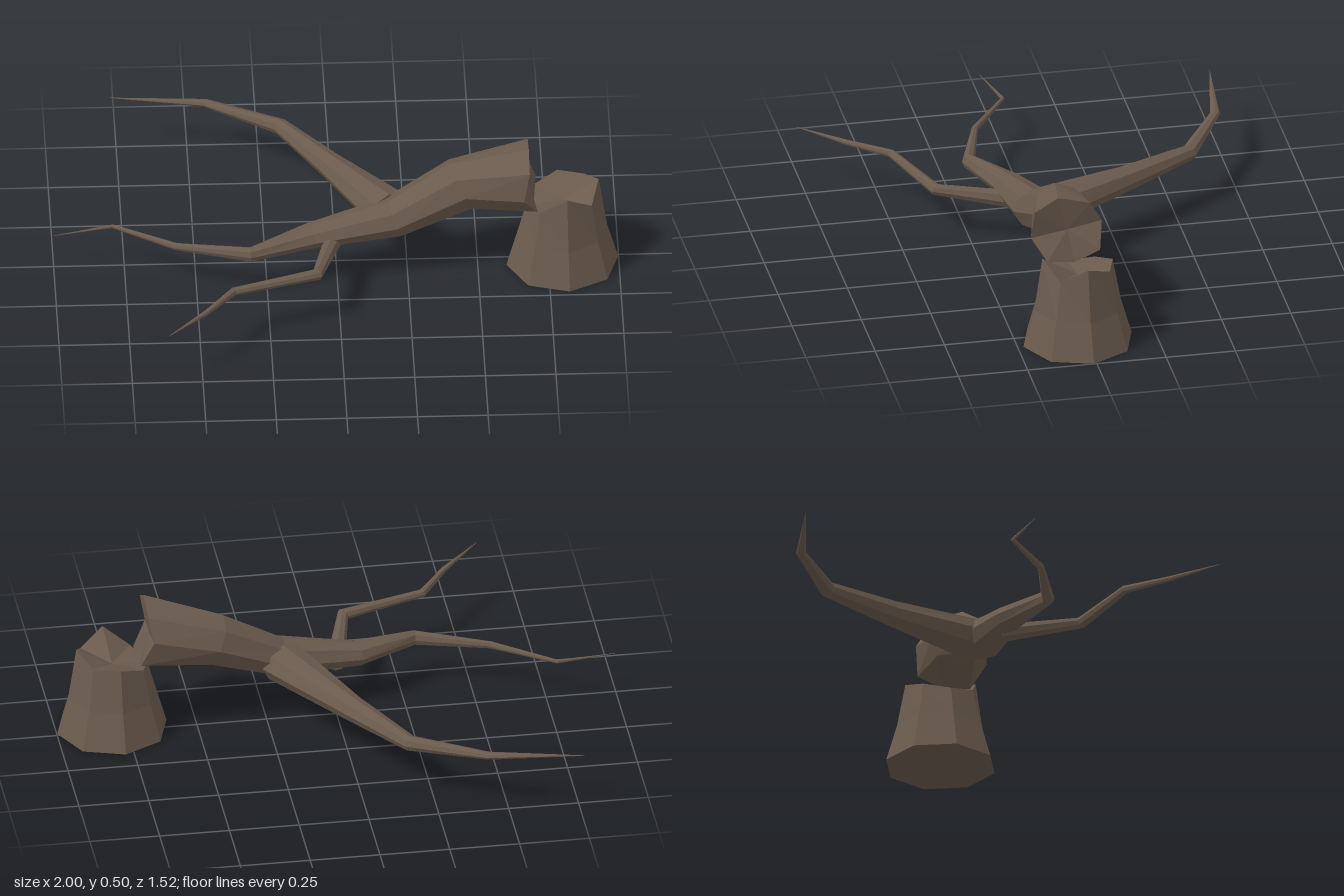
import * as THREE from 'three';

const SIDES = 8;
const V = (x, y, z) => new THREE.Vector3(x, y, z);

// Skin a list of closed rings with flat facets; each end closes onto a centre point
function loft(name, rings, startCentre, endCentre, material) {
  const pos = [];
  const tri = (...pts) => pts.forEach(p => pos.push(p.x, p.y, p.z));
  const last = rings.length - 1;
  for (let j = 0; j < SIDES; j++) {
    const k = (j + 1) % SIDES;
    tri(startCentre, rings[0][j], rings[0][k]);
    for (let i = 0; i < last; i++) {
      tri(rings[i][j], rings[i + 1][j], rings[i + 1][k]);
      tri(rings[i][j], rings[i + 1][k], rings[i][k]);
    }
    tri(endCentre, rings[last][k], rings[last][j]);
  }
  const geometry = new THREE.BufferGeometry();
  geometry.setAttribute('position', new THREE.Float32BufferAttribute(pos, 3));
  geometry.computeVertexNormals();
  const mesh = new THREE.Mesh(geometry, material);
  mesh.name = name;
  return mesh;
}

// Rings along a path of [x, y, z, half width, half height]
function limbRings(path) {
  const at = i => V(...path[Math.min(Math.max(i, 0), path.length - 1)].slice(0, 3));
  return path.map(([x, y, z, w, h], i) => {
    const dir = at(i + 1).sub(at(i - 1)).normalize();
    const side = V(0, 1, 0).cross(dir).normalize();
    const up = dir.clone().cross(side);
    return Array.from({ length: SIDES }, (_, j) => {
      const a = (j / SIDES) * Math.PI * 2;
      return V(x, y, z).addScaledVector(up, Math.cos(a) * h).addScaledVector(side, Math.sin(a) * w);
    });
  });
}

export function createModel() {
  const group = new THREE.Group();
  group.name = 'fallenTree';
  const bark = new THREE.MeshStandardMaterial({ color: 0x6b5b4e });
  bark.name = 'bark brown';

  // Flared stump with a jagged, hollowed top
  const jagged = [0.335, 0.285, 0.34, 0.27, 0.25, 0.27, 0.3, 0.3];
  const stumpRing = (r, heightAt) => Array.from({ length: SIDES }, (_, j) => {
    const a = -0.1 + (j / SIDES) * Math.PI * 2;
    return V(0.8 + r * Math.cos(a), heightAt(j), 0.03 + r * Math.sin(a));
  });
  group.add(loft('stump',
    [stumpRing(0.2, () => 0), stumpRing(0.16, () => 0.14), stumpRing(0.13, j => jagged[j])],
    V(0.8, 0, 0.03), V(0.8, 0.26, 0.03), bark));

  // Trunk: splintered end leaning on the stump, thinning out to a twig
  const brokenEnd = [
    [0.68, 0.505, 0.075], [0.68, 0.455, 0.16], [0.66, 0.345, 0.17], [0.71, 0.27, 0.12],
    [0.7, 0.255, 0.02], [0.71, 0.3, -0.07], [0.665, 0.395, -0.085], [0.68, 0.475, -0.04],
  ].map(p => V(...p));
  const trunkPath = [
    [0.44, 0.332, 0.025, 0.098, 0.098],
    [0.2, 0.222, 0.06, 0.082, 0.07],
    [-0.09, 0.18, 0.105, 0.055, 0.042],
    [-0.31, 0.168, 0.2, 0.024, 0.028],
    [-0.57, 0.158, 0.125, 0.012, 0.014],
    [-0.79, 0.153, -0.02, 0.007, 0.007],
    [-1, 0.145, 0.02, 0.001, 0.001],
  ];
  group.add(loft('trunk', [brokenEnd, ...limbRings(trunkPath)],
    V(0.665, 0.37, 0.04), V(-1, 0.145, 0.02), bark));

  // Side branches
  const branches = {
    backBranch: [
      [0.19, 0.22, 0.02, 0.09, 0.068],
      [-0.01, 0.2, -0.31, 0.048, 0.045],
      [-0.175, 0.193, -0.57, 0.03, 0.028],
      [-0.435, 0.202, -0.715, 0.018, 0.013],
      [-0.77, 0.2, -0.763, 0.001, 0.001],
    ],
    frontBranch: [
      [-0.01, 0.155, 0.09, 0.034, 0.034],
      [-0.08, 0.188, 0.365, 0.023, 0.02],
      [-0.38, 0.19, 0.465, 0.015, 0.015],
      [-0.48, 0.198, 0.605, 0.01, 0.01],
      [-0.62, 0.205, 0.76, 0.001, 0.001],
    ],
  };
  for (const [name, path] of Object.entries(branches)) {
    const tip = path[path.length - 1];
    group.add(loft(name, limbRings(path), V(...path[0].slice(0, 3)), V(...tip.slice(0, 3)), bark));
  }
  return group;
}
